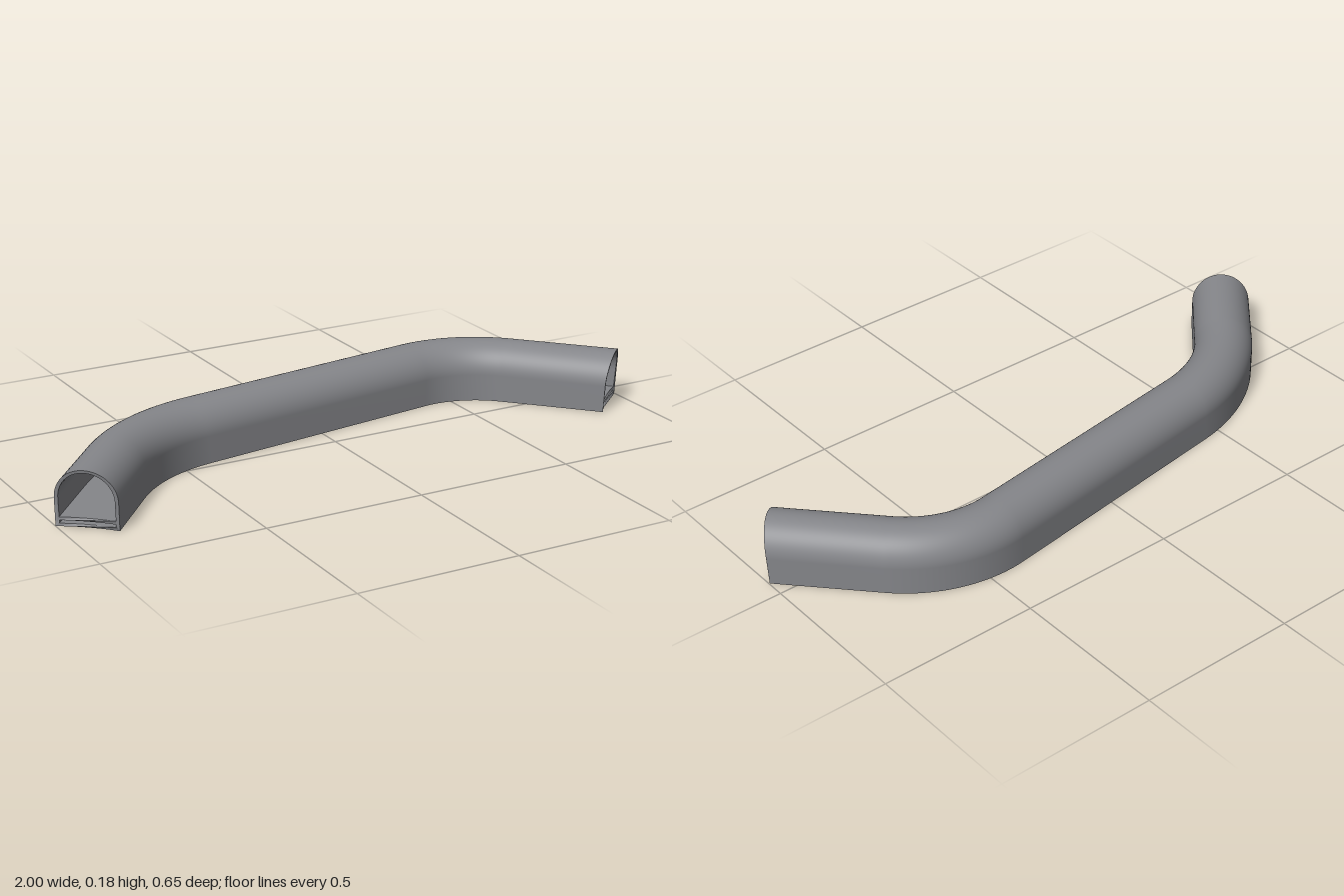
import * as THREE from 'three';

const W = 0.0925, H = 0.178, WALL = 0.011; // half width, height, wall thickness

// Plan centreline: straight runs joined by two rounded bends, as {p, t} stations
function buildPath() {
  const a = new THREE.Vector2(-0.93, 0.26), b = new THREE.Vector2(-0.63, -0.085);
  const c = new THREE.Vector2(0.578, -0.257), d = new THREE.Vector2(0.93, 0.12);
  const stations = [];
  const add = (p, t) => stations.push({ p, t });
  const bend = (prev, corner, next, reach, steps) => {
    const t0 = corner.clone().sub(prev).normalize(), t1 = next.clone().sub(corner).normalize();
    const turn = t0.angleTo(t1), radius = reach / Math.tan(turn / 2);
    const sign = Math.sign(t0.cross(t1));
    const start = corner.clone().addScaledVector(t0, -reach);
    const normal = new THREE.Vector2(-t0.y, t0.x).multiplyScalar(sign);
    const centre = start.clone().addScaledVector(normal, radius);
    for (let i = 0; i <= steps; i++) {
      const angle = sign * turn * i / steps;
      const p = start.clone().rotateAround(centre, angle);
      add(p, t0.clone().rotateAround(new THREE.Vector2(), angle));
    }
  };
  add(a, b.clone().sub(a).normalize());
  bend(a, b, c, 0.21, 24);
  bend(b, c, d, 0.185, 24);
  add(d, d.clone().sub(c).normalize());
  return stations;
}

// The open ends lean outward at the crown and are slightly hollowed at the base
function endReach(u, v) {
  const h = v / H;
  return 0.018 * h * h - 0.008 * (1 - (u / W) ** 2) * (1 - h);
}

// Place a profile point (u across, v up) at a station
function place(stations, i, u, v) {
  const { p, t } = stations[i];
  const e = i === 0 ? -endReach(u, v) : i === stations.length - 1 ? endReach(u, v) : 0;
  return [p.x - t.y * u + t.x * e, v, p.y + t.x * u + t.y * e];
}

// Sweep an open profile along the path
function sweep(stations, profile) {
  const pos = [], index = [], m = profile.length;
  stations.forEach((s, i) => profile.forEach(q => pos.push(...place(stations, i, q.x, q.y))));
  for (let i = 0; i < stations.length - 1; i++) {
    for (let j = 0; j < m - 1; j++) {
      const a = i * m + j, b = a + m;
      index.push(a, b, a + 1, b, b + 1, a + 1);
    }
  }
  const g = new THREE.BufferGeometry();
  g.setAttribute('position', new THREE.Float32BufferAttribute(pos, 3));
  g.setIndex(index);
  g.computeVertexNormals();
  return g;
}

// Straight walls topped by a half round, from right foot to left foot
function arch(w, base, top) {
  const spring = H - W, points = [new THREE.Vector2(w, base)];
  for (let i = 0; i <= 32; i++) {
    const k = Math.PI * i / 32;
    points.push(new THREE.Vector2(w * Math.cos(k), spring + (top - spring) * Math.sin(k)));
  }
  points.push(new THREE.Vector2(-w, base));
  return points;
}

// Level line from u0 to u1
function level(u0, u1, v) {
  return Array.from({ length: 13 }, (_, i) => new THREE.Vector2(u0 + (u1 - u0) * i / 12, v));
}

export function createModel() {
  const group = new THREE.Group();
  group.name = 'bentTunnel';
  const grey = new THREE.MeshStandardMaterial({ color: 0x85868a });
  grey.name = 'grey';
  const stations = buildPath();
  const add = (name, geometry) => {
    const mesh = new THREE.Mesh(geometry, grey);
    mesh.name = name;
    group.add(mesh);
  };

  const w = W - WALL, floorY = 0.028, slotLow = 0.009, slotHigh = 0.018;
  const outer = arch(W, 0, H), underside = level(-W, W, 0);
  const inner = arch(w, floorY, H - WALL * 0.8).reverse(), floor = level(w, -w, floorY);
  const slotTop = level(-w, w, slotHigh), slotBottom = level(w, -w, slotLow);

  // Outer cover and hollow passage
  add('outerCover', sweep(stations, outer));
  add('underside', sweep(stations, underside));
  add('innerLining', sweep(stations, inner));
  add('innerFloor', sweep(stations, floor));

  // Narrow slot below the floor
  add('slotCeiling', sweep(stations, slotTop));
  add('slotBase', sweep(stations, slotBottom));
  add('slotSideA', sweep(stations, [slotTop[12], slotBottom[0]]));
  add('slotSideB', sweep(stations, [slotBottom[12], slotTop[0]]));

  // End rims
  const loop = (a, b) => [...a, ...b.slice(1, -1)];
  const section = new THREE.Shape(loop(outer, underside));
  section.holes.push(new THREE.Path(loop(inner, floor)));
  section.holes.push(new THREE.Path([...slotTop, ...slotBottom]));
  for (const end of [0, stations.length - 1]) {
    const g = new THREE.ShapeGeometry(section);
    const pos = g.attributes.position;
    for (let i = 0; i < pos.count; i++) {
      pos.setXYZ(i, ...place(stations, end, pos.getX(i), pos.getY(i)));
    }
    if (end > 0) g.index.array.reverse();
    g.computeVertexNormals();
    add(end ? 'leftEndRim' : 'rightEndRim', g);
  }
  return group;
}
